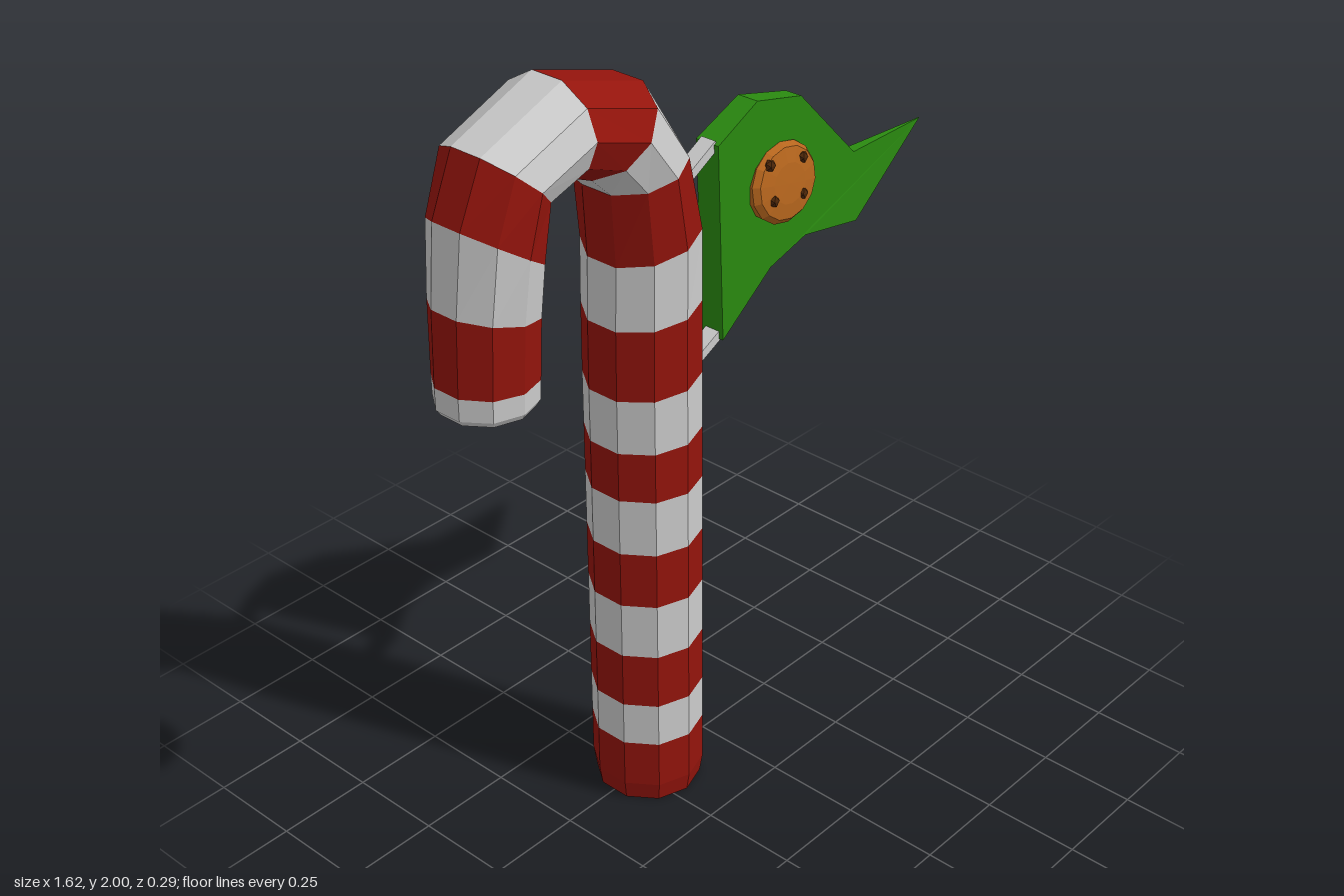
import * as THREE from 'three';

const mat = (color) => new THREE.MeshStandardMaterial({ color, flatShading: true });
const RED = mat(0x94140c), GREY = mat(0xcccccc), GREEN = mat(0x2a8a10);
const COOKIE = mat(0xb5651d), CHIP = mat(0x4a2508);
const SIDES = 10;

function add(parent, name, geometry, material) {
  const mesh = new THREE.Mesh(geometry, material);
  mesh.name = name;
  parent.add(mesh);
  return mesh;
}

// Ten-sided ring given by its outer and inner points in the xy plane and its z radius
function ring([ox, oy, ix, iy, zr]) {
  const k = 0.5 / Math.cos(Math.PI / SIDES);
  return Array.from({ length: SIDES + 1 }, (_, j) => {
    const t = Math.PI / 2 + (j / SIDES) * Math.PI * 2;
    const c = Math.cos(t) * k;
    return [(ox + ix) / 2 + (ox - ix) * c, (oy + iy) / 2 + (oy - iy) * c, Math.sin(t) * zr];
  });
}

// Flat-faced tube through a list of rings
function band(rings) {
  const pos = [];
  for (let i = 0; i + 1 < rings.length; i++) {
    const a = ring(rings[i]), b = ring(rings[i + 1]);
    for (let j = 0; j < SIDES; j++) {
      pos.push(...a[j], ...b[j], ...a[j + 1], ...b[j], ...b[j + 1], ...a[j + 1]);
    }
  }
  const g = new THREE.BufferGeometry();
  g.setAttribute('position', new THREE.Float32BufferAttribute(pos, 3));
  g.computeVertexNormals();
  return g;
}

function buildCane() {
  const cane = new THREE.Group();
  cane.name = 'cane';
  const level = (y) => [-0.08, y, -0.345, y, 0.143];

  // Rounded foot with a closed bottom
  add(cane, 'foot', band([[-0.2125, 0, -0.2125, 0, 0], [-0.087, 0, -0.338, 0, 0.135], level(0.05)]), RED);

  // Stripe borders up the pole and round the hook: outer x, y, inner x, y, z radius
  const borders = [
    level(0.05), ...[0.18, 0.3, 0.45, 0.6, 0.75, 0.9].map(level),
    [-0.08, 1.04, -0.345, 1.03, 0.143],
    [-0.08, 1.19, -0.345, 1.17, 0.143],
    [-0.08, 1.38, -0.343, 1.35, 0.143],
    [-0.082, 1.565, -0.338, 1.51, 0.143],
    [-0.132, 1.755, -0.348, 1.69, 0.143],
    [-0.242, 1.925, -0.405, 1.745, 0.143],
    [-0.485, 2.0, -0.485, 1.78, 0.143],
    [-0.722, 1.905, -0.565, 1.755, 0.14],
    [-0.787, 1.76, -0.575, 1.62, 0.135],
    [-0.808, 1.565, -0.58, 1.51, 0.125],
    [-0.815, 1.38, -0.585, 1.37, 0.12],
  ];
  for (let i = 0; i + 1 < borders.length; i++) {
    add(cane, 'stripe', band([borders[i], borders[i + 1]]), i % 2 ? GREY : RED);
  }

  // Tip of the hook: bevelled rim round a shallow red recess
  const recess = [-0.79, 1.345, -0.61, 1.345, 0.094];
  add(cane, 'tipRim', band([
    [-0.815, 1.38, -0.585, 1.37, 0.12], [-0.815, 1.325, -0.587, 1.325, 0.119],
    [-0.805, 1.31, -0.597, 1.31, 0.11], [-0.79, 1.31, -0.61, 1.31, 0.094], recess,
  ]), GREY);
  add(cane, 'tipRecess', band([recess, [-0.7, 1.345, -0.7, 1.345, 0]]), RED);
  return cane;
}

function buildFlag() {
  const flag = new THREE.Group();
  flag.name = 'flag';
  const outline = [
    [0, 1.69], [0.14, 1.755], [0.305, 1.715], [0.525, 1.495], [0.81, 1.49],
    [0.545, 1.3], [0.335, 1.34], [0.2, 1.305], [0.02, 1.18],
  ].map(([x, y]) => new THREE.Vector2(x, y));

  // Cloth, thinning towards the point
  const cloth = new THREE.ExtrudeGeometry(new THREE.Shape(outline), { depth: 2, bevelEnabled: false });
  const p = cloth.attributes.position;
  for (let i = 0; i < p.count; i++) {
    const half = 0.001 + 0.033 * Math.pow(Math.max(0, 1 - p.getX(i) / 0.81), 0.8);
    p.setZ(i, 0.013 + (p.getZ(i) - 1) * half);
  }
  cloth.computeVertexNormals();
  add(flag, 'cloth', cloth, GREEN);

  // Struts from the pole to the cloth
  for (const [x0, y0, x1, y1] of [[-0.115, 1.617, 0.01, 1.688], [-0.095, 1.13, 0.025, 1.19]]) {
    const strut = add(flag, 'strut', new THREE.BoxGeometry(Math.hypot(x1 - x0, y1 - y0), 0.024, 0.042), GREY);
    strut.position.set((x0 + x1) / 2, (y0 + y1) / 2, 0.013);
    strut.rotation.z = Math.atan2(y1 - y0, x1 - x0);
  }
  return flag;
}

function buildCookie() {
  const cookie = new THREE.Group();
  cookie.name = 'cookie';

  // Low domed disc
  const profile = [[0, -0.02], [0.095, -0.02], [0.1, 0.005], [0.088, 0.019], [0.05, 0.025], [0, 0.026]]
    .map(([r, y]) => new THREE.Vector2(r, y));
  const disc = add(cookie, 'disc', new THREE.LatheGeometry(profile, 14), COOKIE);
  disc.scale.x = 1.14;

  // Chocolate chips
  for (const [x, z] of [[-0.058, -0.062], [0.058, -0.046], [-0.058, 0.026], [0.045, 0.04]]) {
    const chip = add(cookie, 'chip', new THREE.IcosahedronGeometry(0.016, 0), CHIP);
    chip.position.set(x, 0.02, z);
    chip.scale.y = 0.8;
  }
  cookie.position.set(0.225, 1.525, 0.05);
  cookie.rotation.set(Math.PI / 2 - 0.15, 0, 0);
  return cookie;
}

export function createModel() {
  const model = new THREE.Group();
  model.name = 'candyCaneWithFlag';
  model.add(buildCane(), buildFlag(), buildCookie());
  return model;
}
